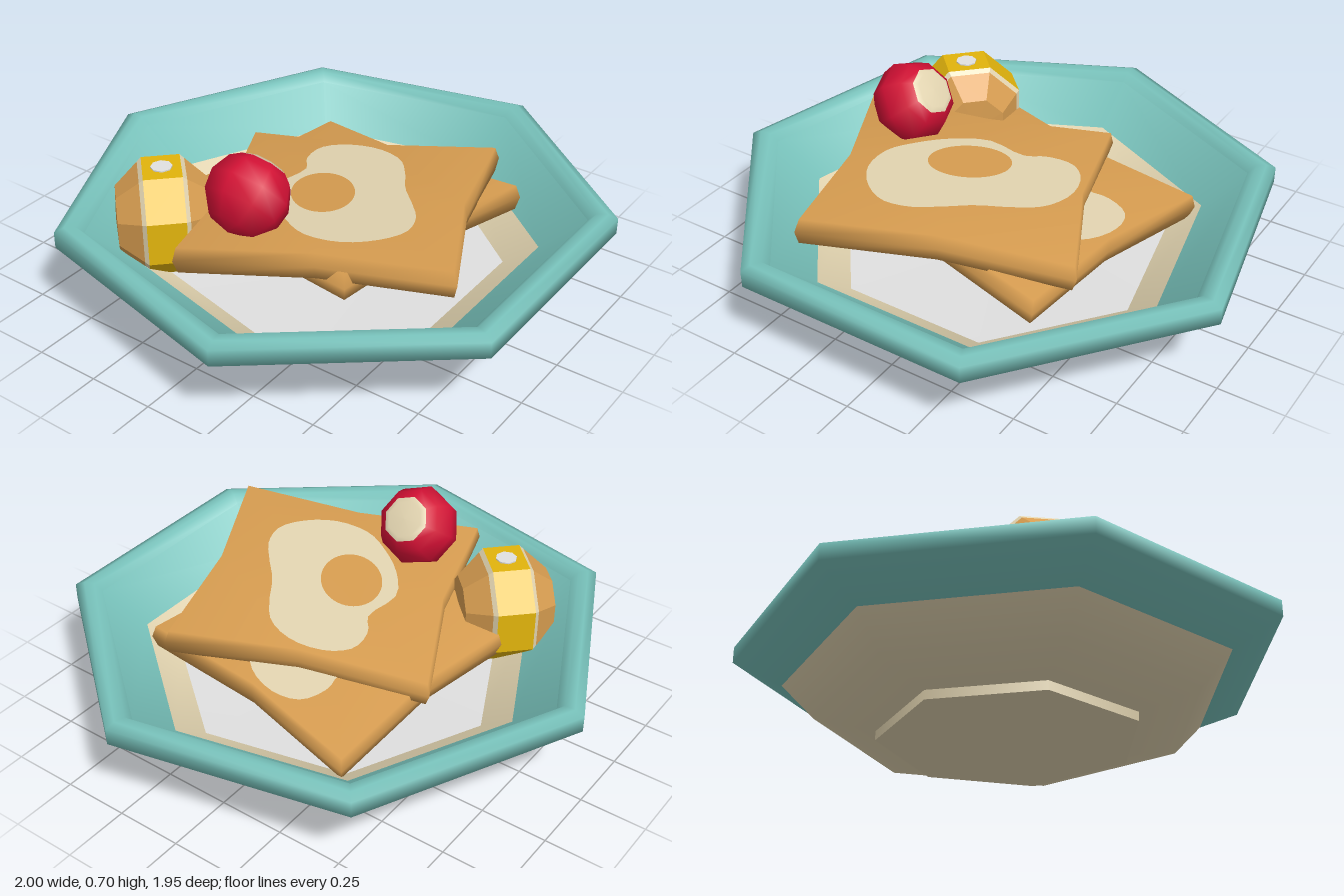
import * as THREE from 'three';
import { mergeVertices } from 'three/addons/utils/BufferGeometryUtils.js';

const paint = (name, color) => {
  const m = new THREE.MeshStandardMaterial({ color });
  m.name = name;
  return m;
};

export function createModel() {
  const teal = paint('teal glaze', 0x78c2bb);
  const cream = paint('cream', 0xe2d4b0);
  const white = paint('white glaze', 0xe0e0e0);
  const bread = paint('toasted bread', 0xd69c50);
  const red = paint('red skin', 0xd21034);
  const yellow = paint('yellow rind', 0xe2b40c);

  const model = new THREE.Group();
  model.name = 'toastBowl';

  const add = (parent, name, geometry, material) => {
    const mesh = new THREE.Mesh(geometry, material);
    mesh.name = name;
    parent.add(mesh);
    return mesh;
  };
  const lathe = (pts, sides, start = 0) =>
    new THREE.LatheGeometry(pts.map(p => new THREE.Vector2(...p)), sides, start);
  const faceted = g => {
    const flat = g.toNonIndexed();
    flat.computeVertexNormals();
    return flat;
  };

  // Seven-sided bowl, one ring per glaze colour
  const bowl = new THREE.Group();
  bowl.name = 'bowl';
  bowl.position.z = 0.05;
  model.add(bowl);
  const ring = (name, pts, material) => add(bowl, name, lathe(pts, 7, Math.PI), material);
  ring('footBase', [[0, 0], [0.49, 0]], cream);
  ring('footWall', [[0.49, 0], [0.49, 0.035]], cream);
  ring('lowerWall', [[0.49, 0.035], [0.715, 0.08], [0.84, 0.21]], cream);
  ring('rim', [[0.84, 0.21], [1.0257, 0.3], [1.0257, 0.362], [0.99, 0.377], [0.95, 0.375], [0.92, 0.345]], teal);
  ring('innerWall', [[0.92, 0.345], [0.755, 0.21]], teal);
  ring('innerBand', [[0.755, 0.21], [0.63, 0.13]], cream);
  ring('bowlFloor', [[0.63, 0.13], [0, 0.11]], white);

  // Toast slice: a soft square slab with pinched sides
  const half = 0.485, thick = 0.095;
  const sliceGeometry = () => {
    let g = new THREE.BoxGeometry(2 * half, thick, 2 * half, 2, 2, 2);
    g.deleteAttribute('normal');
    g.deleteAttribute('uv');
    g = mergeVertices(g);
    const p = g.attributes.position;
    for (let i = 0; i < p.count; i++) {
      const x = p.getX(i), z = p.getZ(i);
      const soft = Math.abs(p.getY(i)) > 0.01 ? 0.975 : 1;
      p.setX(i, x * soft * (1 - 0.09 * (1 - (z / half) ** 2)));
      p.setZ(i, z * soft * (1 - 0.09 * (1 - (x / half) ** 2)));
    }
    g.computeVertexNormals();
    return g;
  };

  // Outline of the fried egg white, as x and z on the slice
  const eggOutline = [
    [-0.10, -0.23], [0.04, -0.26], [0.18, -0.19], [0.27, -0.21], [0.37, -0.18], [0.41, -0.09],
    [0.39, 0.04], [0.31, 0.14], [0.20, 0.18], [0.08, 0.205], [-0.03, 0.25], [-0.14, 0.285],
    [-0.24, 0.27], [-0.315, 0.18], [-0.345, 0.06], [-0.31, -0.07], [-0.23, -0.15],
  ];
  const eggCurve = new THREE.CatmullRomCurve3(eggOutline.map(([x, z]) => new THREE.Vector3(x, -z, 0)), true);
  const eggShape = new THREE.Shape(eggCurve.getPoints(50).map(p => new THREE.Vector2(p.x, p.y)));
  const yolkShape = new THREE.Shape();
  yolkShape.absellipse(0, 0.08, 0.155, 0.115, 0, Math.PI * 2, false, 0.3);

  const toast = (name, position, tiltX, turn, tiltZ) => {
    const slice = new THREE.Group();
    slice.name = name;
    slice.position.set(...position);
    slice.rotation.set(tiltX, turn, tiltZ, 'YXZ');
    model.add(slice);
    add(slice, 'breadSlice', sliceGeometry(), bread);
    const plate = (label, shape, lift, material) => {
      const g = new THREE.ShapeGeometry(shape, 24).rotateX(-Math.PI / 2);
      add(slice, label, g, material).position.y = thick / 2 + lift;
    };
    plate('eggWhite', eggShape, 0.003, cream);
    plate('eggYolk', yolkShape, 0.006, bread);
  };
  toast('lowerToast', [0.04, 0.298, 0.03], -0.083, -0.125, -0.078);
  toast('upperToast', [-0.09, 0.385, 0.16], -0.062, 0.385, -0.068);

  // Red berry, its pale cut end leaning up and to the side
  const berry = new THREE.Group();
  berry.name = 'berry';
  berry.position.set(-0.435, 0.545, -0.005);
  berry.rotation.z = -0.9;
  model.add(berry);
  add(berry, 'berrySkin', lathe([[0, -0.145], [0.09, -0.12], [0.145, -0.05], [0.155, 0.02], [0.125, 0.09], [0.09, 0.118]], 8), red);
  add(berry, 'berryEnd', lathe([[0.09, 0.118], [0.07, 0.128], [0, 0.13]], 8), cream);

  // Faceted citrus piece standing on its edge
  const citrus = new THREE.Group();
  citrus.name = 'citrus';
  citrus.position.set(-0.45, 0.335, -0.385);
  citrus.rotation.set(Math.PI / 2, 0, -Math.PI / 4, 'YXZ');
  citrus.rotation.set(Math.PI / 2, Math.PI / 4, 0, 'YXZ');
  model.add(citrus);
  const slab = (name, pts, material) => add(citrus, name, faceted(lathe(pts, 8, Math.PI / 8)), material);
  slab('citrusRind', [[0.215, -0.07], [0.215, 0.07]], yellow);
  slab('pithFront', [[0.215, 0.07], [0.2, 0.085]], cream);
  slab('pithBack', [[0.2, -0.085], [0.215, -0.07]], cream);
  slab('pulpFront', [[0.2, 0.085], [0.12, 0.17], [0, 0.175]], bread);
  slab('pulpBack', [[0, -0.175], [0.12, -0.17], [0.2, -0.085]], bread);
  const spot = add(model, 'citrusTip', new THREE.CylinderGeometry(0.04, 0.04, 0.006, 8), white);
  spot.position.set(-0.45, 0.335 + 0.215 * Math.cos(Math.PI / 8) + 0.002, -0.385);

  return model;
}
